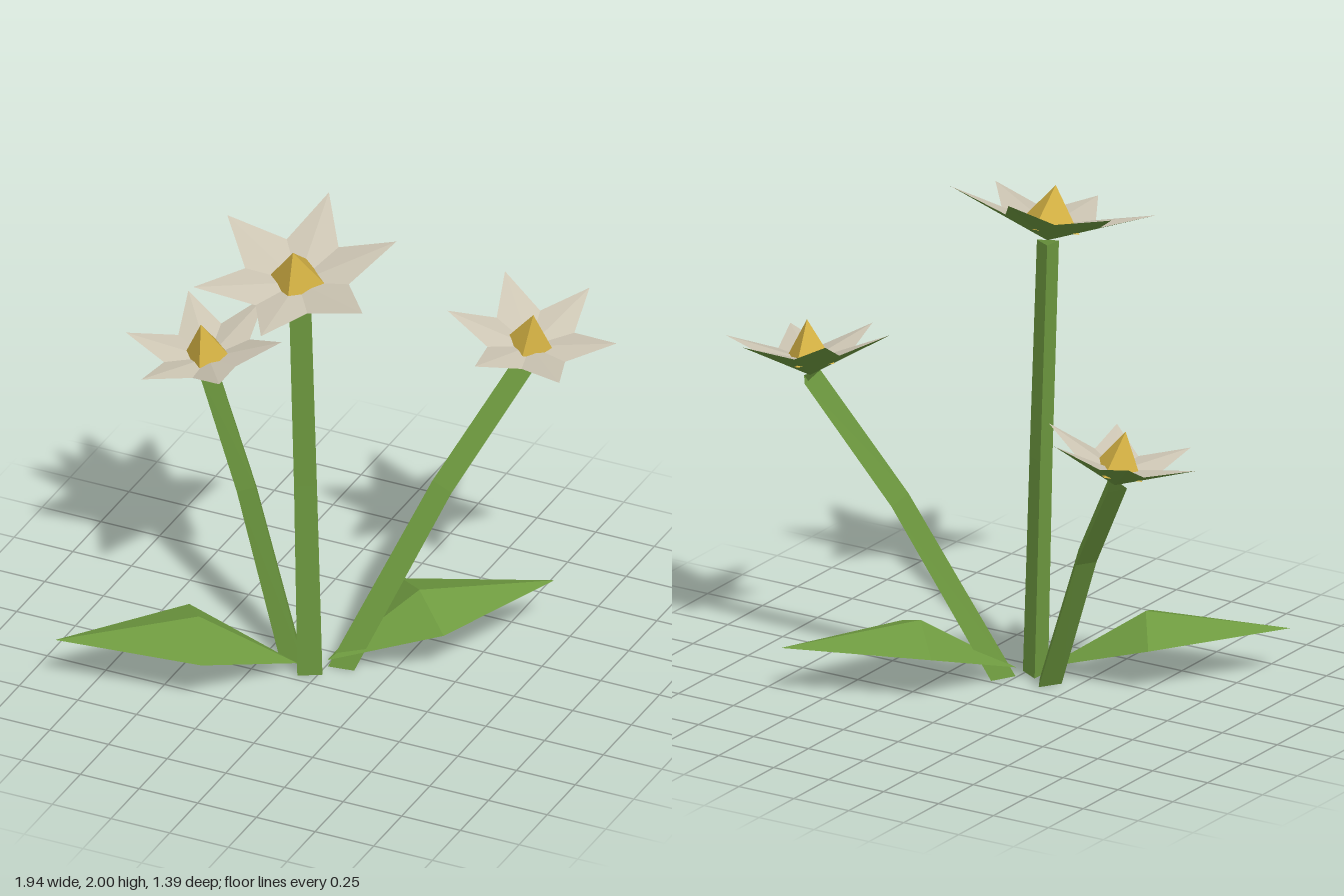
import * as THREE from 'three';

const V = (x, y, z) => new THREE.Vector3(x, y, z);

const material = (name, color, side = THREE.FrontSide) => {
  const m = new THREE.MeshStandardMaterial({ color, flatShading: true, side });
  m.name = name;
  return m;
};

// Faceted mesh from a list of triangles (each three Vector3)
function facetMesh(name, triangles, mat) {
  const geometry = new THREE.BufferGeometry().setFromPoints(triangles.flat());
  geometry.computeVertexNormals();
  const mesh = new THREE.Mesh(geometry, mat);
  mesh.name = name;
  return mesh;
}

// Frame around an axis: u leans to +x, w leans to +z
function frame(axis) {
  const n = axis.clone().normalize();
  const u = V(1, 0, 0).addScaledVector(n, -n.x).normalize();
  return { n, u, w: u.clone().cross(n) };
}

// Point at angle a (degrees), radius r and height h in a frame
function polar(origin, f, a, r, h = 0) {
  const t = THREE.MathUtils.degToRad(a);
  return origin.clone()
    .addScaledVector(f.u, r * Math.cos(t))
    .addScaledVector(f.w, r * Math.sin(t))
    .addScaledVector(f.n, h);
}

// Open three-sided stem with one bend, its foot cut level with the ground
function makeStem(path, turn, mat) {
  const radii = [0.056, 0.051, 0.049];
  const rings = path.map((p, i) => {
    const axis = path[Math.min(i + 1, 2)].clone().sub(path[Math.max(i - 1, 0)]);
    const f = frame(axis);
    return [0, 1, 2].map((k) => {
      const q = polar(p, f, turn + 120 * k, radii[i]);
      if (i === 0) q.addScaledVector(f.n, -q.y / f.n.y);
      return q;
    });
  });
  const tris = [];
  for (let i = 0; i < 2; i++) {
    const lo = rings[i], up = rings[i + 1];
    for (let k = 0; k < 3; k++) {
      const j = (k + 1) % 3;
      tris.push([lo[k], up[k], up[j]], [lo[k], up[j], lo[j]]);
    }
  }
  return facetMesh('stem', tris, mat);
}

// Six-pointed blossom: shallow pale top, deeper green underside, pyramid centre
function makeFlower(bottom, normal, radius, turn, centreRadius, mats) {
  const group = new THREE.Group();
  group.name = 'flower';
  const f = frame(normal);
  const rim = [];
  for (let k = 0; k < 12; k++) {
    const tip = k % 2 === 0;
    rim.push(polar(bottom, f, turn + 30 * k, tip ? radius : radius * 0.53, tip ? 0.155 : 0.09));
  }
  const middle = polar(bottom, f, 0, 0, 0.058);
  const inner = [], outer = [];
  rim.forEach((p, k) => {
    const q = rim[(k + 1) % 12];
    inner.push([middle, q, p]);
    outer.push([bottom, p, q]);
  });
  group.add(facetMesh('petals', inner, mats.petal), facetMesh('petalUndersides', outer, mats.green));

  // Four-sided pyramid whose corners just pass through the underside
  const apex = polar(bottom, f, 0, 0, 0.217);
  const ring = [0, 1, 2, 3].map((k) => polar(bottom, f, -5 + 90 * k, centreRadius, 0.047));
  const tris = ring.map((p, k) => [apex, ring[(k + 1) % 4], p]);
  tris.push([ring[0], ring[1], ring[2]], [ring[0], ring[2], ring[3]]);
  group.add(facetMesh('flowerCentre', tris, mats.yellow));
  return group;
}

// Diamond leaf with a raised fold on top and a flat, darker underside
function makeLeaf(base, a, tip, b, peak, mats) {
  const group = new THREE.Group();
  group.name = 'leaf';
  const corners = [base, a, tip, b];
  const top = corners.map((p, k) => [peak, p, corners[(k + 1) % 4]]);
  group.add(facetMesh('leafTop', top, mats.green));
  group.add(facetMesh('leafUnderside', [[base, b, a], [tip, a, b]], mats.darkGreen));
  return group;
}

export function createModel() {
  const model = new THREE.Group();
  model.name = 'flowerPlant';
  const mats = {
    green: material('leafGreen', 0x6f9b40),
    stem: material('stemGreen', 0x6f9b40, THREE.DoubleSide),
    darkGreen: material('leafUndersideGreen', 0x3f6a30),
    petal: material('petalCream', 0xccc5b3),
    yellow: material('centreYellow', 0xd0ae42),
  };

  // Tall middle, left-hand and right-hand flowers
  const plants = [
    { name: 'middleFlower', path: [V(-0.04, 0, 0.172), V(-0.038, 0.87, 0.215), V(-0.036, 1.738, 0.268)],
      stemTurn: 0, bottom: V(-0.035, 1.745, 0.266), normal: V(-0.011, 1, 0.276), radius: 0.401, turn: -35.6, centre: 0.132 },
    { name: 'leftFlower', path: [V(0.06, 0, 0.07), V(0.363, 0.745, -0.185), V(0.624, 1.265, -0.4)],
      stemTurn: 22, bottom: V(0.624, 1.27, -0.398), normal: V(0.15, 1, 0.136), radius: 0.333, turn: -13.7, centre: 0.11 },
    { name: 'rightFlower', path: [V(-0.133, 0, 0.108), V(-0.4, 0.61, -0.048), V(-0.634, 1.002, -0.195)],
      stemTurn: 36, bottom: V(-0.634, 1.003, -0.195), normal: V(-0.124, 1, 0.176), radius: 0.322, turn: -6.4, centre: 0.11 },
  ];
  for (const p of plants) {
    const plant = new THREE.Group();
    plant.name = p.name;
    plant.add(makeStem(p.path, p.stemTurn, mats.stem));
    plant.add(makeFlower(p.bottom, p.normal, p.radius, p.turn, p.centre, mats));
    model.add(plant);
  }

  // Two leaves at the foot, corners running anticlockwise from above
  model.add(makeLeaf(V(-0.085, 0.033, 0.185), V(-0.543, 0.183, 0.19), V(-0.882, 0.195, 0.675),
    V(-0.3, 0.183, 0.588), V(-0.41, 0.264, 0.382), mats));
  model.add(makeLeaf(V(0.01, 0.033, 0.115), V(0.443, 0.183, -0.015), V(0.655, 0.195, -0.558),
    V(0.11, 0.183, -0.337), V(0.268, 0.264, -0.165), mats));
  return model;
}
